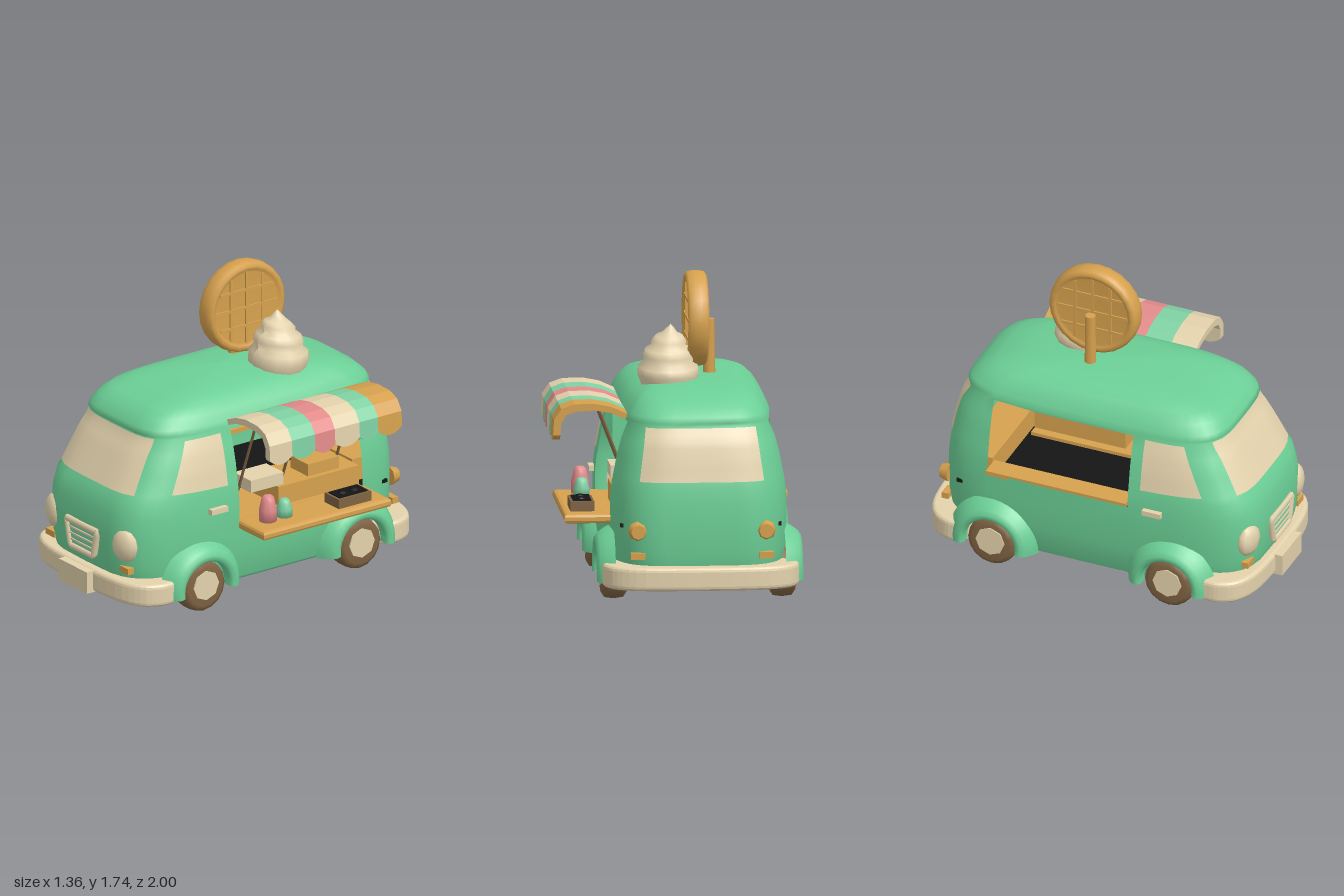
import * as THREE from 'three';

const mat = (name, color, side = THREE.FrontSide) => {
  const m = new THREE.MeshStandardMaterial({ color, side });
  m.name = name;
  return m;
};
const CX = -0.12; // body centre line
const N = 4.4; // squareness of the body plan
// body levels: height, half width, front length, back length
const LEVELS = [
  [0.1, 0.001, 0.001, 0.001], [0.1, 0.43, 0.84, 0.86], [0.13, 0.47, 0.89, 0.9], [0.3, 0.495, 0.925, 0.925],
  [0.45, 0.5, 0.935, 0.93], [0.57, 0.5, 0.925, 0.925], [0.66, 0.49, 0.9, 0.915], [0.7, 0.482, 0.865, 0.905],
  [0.8, 0.465, 0.81, 0.885], [0.9, 0.44, 0.755, 0.86], [0.98, 0.412, 0.7, 0.815], [1.0, 0.412, 0.722, 0.832],
  [1.03, 0.4, 0.71, 0.815], [1.08, 0.37, 0.67, 0.76], [1.12, 0.33, 0.6, 0.68], [1.15, 0.27, 0.47, 0.56],
  [1.172, 0.18, 0.28, 0.38], [1.182, 0.001, 0.001, 0.001],
];
const SILL_RIGHT = 4, SILL_LEFT = 5, HEAD = 10; // level indices of the openings

function sizeAt(y) {
  let i = 1;
  while (i < LEVELS.length - 2 && LEVELS[i + 1][0] < y) i++;
  const a = LEVELS[i], b = LEVELS[i + 1], t = (y - a[0]) / (b[0] - a[0]);
  return a.map((v, k) => v + (b[k] - v) * t);
}
const curve = (v, a, b) => b * Math.pow(Math.max(0, 1 - Math.pow(Math.abs(v) / a, N)), 1 / N);
const frontZ = (x, y) => { const [, w, f] = sizeAt(y); return curve(x, w, f); };
const backZ = (x, y) => { const [, w, , b] = sizeAt(y); return -curve(x, w, b); };
const sideX = (z, y) => { const [, w, f, b] = sizeAt(y); return curve(z, z > 0 ? f : b, w); };

// shell of stacked rounded sections, leaving out the two serving openings
function bodyGeometry() {
  const K = 9, pos = [], idx = [];
  let n = 0;
  for (const [y, w, f, b] of LEVELS) {
    const half = [], z0 = Math.min(0.24, 0.4 * f), z1 = Math.min(0.6, 0.74 * b);
    const arc = (l, z, t) => {
      const t0 = Math.asin(Math.pow(z / l, N / 2)), a = t0 + (Math.PI / 2 - t0) * t;
      return [w * Math.pow(Math.max(0, Math.cos(a)), 2 / N), l * Math.pow(Math.sin(a), 2 / N)];
    };
    for (let i = K; i >= 0; i--) half.push(arc(f, z0, i / K));
    for (const t of [1 / 3, 2 / 3]) {
      const z = z0 - (z0 + z1) * t;
      half.push([curve(z, z > 0 ? f : b, w), z]);
    }
    for (let i = 0; i <= K; i++) { const p = arc(b, z1, i / K); half.push([p[0], -p[1]]); }
    const ring = [...half, ...half.slice(1, -1).reverse().map(([x, z]) => [-x, z])];
    n = ring.length;
    ring.forEach(([x, z]) => pos.push(x, y, z));
  }
  for (let i = 0; i < LEVELS.length - 1; i++) for (let j = 0; j < n; j++) {
    const right = j >= K && j < K + 3, left = j >= n - K - 3 && j < n - K;
    if (i < HEAD && ((right && i >= SILL_RIGHT) || (left && i >= SILL_LEFT))) continue;
    const a = i * n + j, b = i * n + (j + 1) % n;
    idx.push(a, b, b + n, a, b + n, a + n);
  }
  const g = new THREE.BufferGeometry();
  g.setAttribute('position', new THREE.Float32BufferAttribute(pos, 3));
  g.setIndex(idx);
  g.computeVertexNormals();
  return g;
}

// thin plate following the body: corners are [u, y] as bl, br, tr, tl
function plateGeometry([bl, br, tr, tl], place) {
  const g = new THREE.PlaneGeometry(1, 1, 10, 8), p = g.attributes.position;
  const mix = (a, b, t) => a + (b - a) * t;
  for (let i = 0; i < p.count; i++) {
    const u = p.getX(i) + 0.5, v = p.getY(i) + 0.5;
    const c = [0, 1].map(k => mix(mix(bl[k], br[k], u), mix(tl[k], tr[k], u), v));
    p.setXYZ(i, ...place(c[0], c[1]));
  }
  g.computeVertexNormals();
  return g;
}

// arch swept from cross-sections, leaning in towards the body at the top
function fenderGeometry(s) {
  const section = [[0.15, 0.02], [0.15, 0.07], [0.165, 0.088], [0.19, 0.088], [0.215, 0.07], [0.24, 0.035], [0.262, -0.01]];
  const M = section.length, STEPS = 20, pos = [], idx = [];
  for (let i = 0; i <= STEPS; i++) {
    const a = -0.15 + (Math.PI + 0.3) * i / STEPS;
    for (const [r, x] of section) pos.push(s * x, r * Math.sin(a), r * Math.cos(a));
  }
  for (let i = 0; i < STEPS; i++) for (let j = 0; j < M - 1; j++) {
    const a = i * M + j, b = a + 1, c = b + M, d = a + M;
    if (s > 0) idx.push(a, c, b, a, d, c);
    else idx.push(a, b, c, a, c, d);
  }
  const g = new THREE.BufferGeometry();
  g.setAttribute('position', new THREE.Float32BufferAttribute(pos, 3));
  g.setIndex(idx);
  g.computeVertexNormals();
  return g;
}

export function createModel() {
  const green = mat('mint paint', 0x6ccf96, THREE.DoubleSide);
  const mint = mat('pale mint', 0x80d2a4);
  const cream = mat('cream', 0xe3d2ac, THREE.DoubleSide);
  const tan = mat('waffle tan', 0xd6a14e);
  const pink = mat('pink', 0xe48b8b);
  const brown = mat('brown', 0x806343);
  const black = mat('black', 0x151515);
  const root = new THREE.Group();
  root.name = 'foodVan';
  const van = new THREE.Group();
  van.name = 'van';
  van.position.x = CX;
  root.add(van);
  const add = (name, geo, m, x = 0, y = 0, z = 0, parent = van) => {
    const mesh = new THREE.Mesh(geo, m);
    mesh.name = name;
    mesh.position.set(x, y, z);
    parent.add(mesh);
    return mesh;
  };
  const box = (w, h, d) => new THREE.BoxGeometry(w, h, d);
  const vecs = pts => pts.map(p => new THREE.Vector2(...p));
  const lathe = (pts, seg) => new THREE.LatheGeometry(vecs(pts), seg);

  add('body', bodyGeometry(), green);

  // windows
  add('windscreen', plateGeometry([[-0.345, 0.7], [0.335, 0.7], [0.3, 0.985], [-0.31, 0.985]],
    (x, y) => [x, y, frontZ(x, y) + 0.009]), cream);
  add('rearWindow', plateGeometry([[0.34, 0.69], [-0.34, 0.69], [-0.3, 0.975], [0.3, 0.975]],
    (x, y) => [x, y, backZ(x, y) - 0.009]), cream);
  for (const s of [1, -1]) {
    const corners = [[0.66, 0.7], [0.31, 0.69], [0.31, 0.975], [0.53, 0.97]];
    if (s < 0) corners.splice(0, 4, corners[1], corners[0], corners[3], corners[2]);
    add('sideWindow', plateGeometry(corners, (z, y) => [s * (sideX(z, y) + 0.006), y, z]), cream);
    add('doorHandle', box(0.03, 0.03, 0.11), cream, s * 0.51, 0.57, 0.39);

    // lamps
    const lamp = add('headlight', new THREE.SphereGeometry(0.09, 10, 6), cream, s * 0.325, 0.42, 0.885);
    lamp.scale.set(0.95, 1.05, 0.5);
    lamp.rotation.y = s * 0.25;
    add('turnSignal', box(0.08, 0.035, 0.04), tan, s * 0.34, 0.285, 0.885);
    const tail = add('tailLight', new THREE.CylinderGeometry(0.04, 0.055, 0.05, 8), tan, s * 0.35, 0.42, -0.9);
    tail.rotation.x = -Math.PI / 2;
    add('reflector', box(0.08, 0.035, 0.04), tan, s * 0.35, 0.285, -0.89);

    // wheels and fenders
    for (const z of [0.49, -0.56]) {
      add('fender', fenderGeometry(s), green, s * 0.475, 0.15, z);
      const tyre = lathe([[0, -0.07], [0.11, -0.07], [0.14, -0.05], [0.147, 0], [0.14, 0.05], [0.11, 0.07], [0, 0.07]], 16);
      add('wheel', tyre.rotateZ(Math.PI / 2), brown, s * 0.46, 0.147, z);
      add('hubcap', new THREE.CylinderGeometry(0.085, 0.085, 0.02, 8).rotateZ(Math.PI / 2), cream, s * 0.527, 0.16, z);
    }
  }

  // wraparound bumpers
  const halfPath = [[0.515, 0.72], [0.51, 0.79], [0.455, 0.875], [0.31, 0.93]];
  const path = new THREE.SplineCurve(vecs([...halfPath, [0, 0.945], ...halfPath.map(([x, z]) => [-x, z]).reverse()])).getPoints(32);
  for (const [name, dz, turn] of [['frontBumper', -0.005, 0], ['rearBumper', 0.035, Math.PI]]) {
    const outer = path.map(p => new THREE.Vector2(p.x, p.y + dz));
    const inner = path.map(p => new THREE.Vector2(p.x * 0.8, p.y + dz - 0.12)).reverse();
    const g = new THREE.ExtrudeGeometry(new THREE.Shape([...outer, ...inner]),
      { depth: 0.08, bevelThickness: 0.024, bevelSize: 0.02, bevelSegments: 3 });
    g.translate(0, 0, -0.04).rotateX(Math.PI / 2).rotateY(turn);
    add(name, g, cream, 0, 0.167, 0);
  }
  add('bumperPlate', box(0.26, 0.125, 0.08), cream, 0, 0.163, 0.96);

  // grille
  const rim = [[-0.14, 0.45], [0.14, 0.45], [0.105, 0.3], [-0.105, 0.3]];
  const frame = new THREE.CurvePath();
  rim.forEach((p, i) => {
    const q = rim[(i + 1) % 4];
    frame.add(new THREE.LineCurve3(new THREE.Vector3(...p, 0.935), new THREE.Vector3(...q, 0.935)));
  });
  add('grilleFrame', new THREE.TubeGeometry(frame, 40, 0.02, 6, true), cream);
  add('grillePanel', new THREE.ShapeGeometry(new THREE.Shape(vecs(rim))), mint, 0, 0, 0.938);
  for (let i = 0; i < 3; i++) add('grilleSlat', box(0.2 + 0.02 * i, 0.009, 0.012), cream, 0, 0.34 + 0.035 * i, 0.938);

  // interior: dark floor, cab wall, serving counter and rear worktop
  add('interiorFloor', box(0.88, 0.02, 1.1), black, 0, 0.44, -0.25);
  add('cabWall', box(0.8, 0.55, 0.02), green, 0, 0.72, 0.28);
  add('sill', box(0.12, 0.025, 0.83), tan, -0.43, 0.567, -0.19);
  add('servingCounter', box(0.36, 0.03, 0.83), tan, 0.3, 0.455, -0.185);
  add('counterStep', box(0.28, 0.12, 0.54), tan, 0.31, 0.52, -0.33);
  add('rearWorktop', box(0.72, 0.14, 0.2), tan, 0, 0.51, -0.72);
  add('tray', box(0.16, 0.07, 0.22), cream, 0.36, 0.62, 0.01);
  add('crate', box(0.16, 0.07, 0.21), tan, 0.34, 0.615, -0.385);
  add('servingShelf', new THREE.ExtrudeGeometry(new THREE.Shape(vecs([[-0.11, -0.41], [0.11, -0.41], [0.11, 0.41], [-0.11, 0.41]])),
    { depth: 0.02, bevelThickness: 0.016, bevelSize: 0.02, bevelSegments: 2 }).rotateX(Math.PI / 2),
  tan, 0.48, 0.457, -0.185, root);

  // things on the shelf
  const bottle = [[0, 0], [0.05, 0], [0.05, 0.07], [0.04, 0.11], [0.034, 0.14], [0.02, 0.152], [0, 0.154]];
  add('pinkBottle', lathe(bottle, 10), pink, 0.47, 0.468, 0.115, root);
  add('greenBottle', lathe(bottle.map(([r, y]) => [r * 0.88, y * 0.7]), 10), mint, 0.47, 0.468, 0.005, root);
  add('griddle', box(0.13, 0.055, 0.22), brown, 0.505, 0.5, -0.4, root);
  add('griddlePlate', box(0.1, 0.008, 0.19), black, 0.505, 0.53, -0.4, root);
  for (const z of [-0.36, -0.44]) add('griddleLump', new THREE.SphereGeometry(0.025, 8, 5), black, 0.505, 0.53, z, root).scale.y = 0.7;

  // striped awning with scalloped edge
  const section = new THREE.Shape(vecs([[0.27, 1.03], [0.36, 1.07], [0.45, 1.087], [0.56, 1.085], [0.63, 1.06], [0.67, 1.0], [0.675, 0.91],
    [0.635, 0.91], [0.63, 0.98], [0.605, 1.025], [0.55, 1.045], [0.45, 1.05], [0.36, 1.035], [0.28, 1.0]]));
  const edges = [0.25, 0.1, -0.055, -0.19, -0.355, -0.48, -0.64];
  [cream, mint, pink, cream, mint, tan].forEach((m, i) => {
    const depth = edges[i] - edges[i + 1];
    const g = new THREE.ExtrudeGeometry(section, { depth, steps: 6, bevelEnabled: false });
    const p = g.attributes.position;
    for (let k = 0; k < p.count; k++) {
      const t = p.getZ(k) / depth;
      if (p.getY(k) < 0.93) p.setY(k, 0.915 - 0.14 * t * (1 - t));
    }
    g.computeVertexNormals();
    add('awningStripe', g, m, 0, 0, edges[i + 1], root);
  });
  const strut = new THREE.LineCurve3(new THREE.Vector3(0.42, 1.05, 0), new THREE.Vector3(0.24, 0.58, 0));
  for (const z of [0.15, -0.145, -0.5]) add('awningStrut', new THREE.TubeGeometry(strut, 1, 0.008, 6), brown, 0, 0, z, root);

  // rooftop waffle with raised rim and grid
  const waffle = new THREE.Group();
  waffle.name = 'waffleSign';
  waffle.position.set(-0.14, 1.475, -0.155);
  root.add(waffle);
  const halfRim = [[0, 0.042], [0.205, 0.042], [0.22, 0.056], [0.24, 0.058], [0.256, 0.045], [0.262, 0.015]];
  const disc = lathe([...halfRim.map(([r, y]) => [r, -y]), ...halfRim.slice().reverse()], 24);
  add('waffleDisc', disc.rotateZ(Math.PI / 2), tan, 0, 0, 0, waffle);
  for (const d of [-0.105, 0, 0.105]) {
    const len = 2 * Math.sqrt(0.21 * 0.21 - d * d);
    add('waffleRib', box(0.1, len, 0.016), tan, 0, 0, d, waffle);
    add('waffleRib', box(0.1, 0.016, len), tan, 0, d, 0, waffle);
  }
  add('waffleSupport', new THREE.CylinderGeometry(0.03, 0.034, 0.32, 8), tan, -0.214, 1.31, -0.155, root);

  // whipped swirl
  const swirl = lathe([[0.15, -0.03], [0.17, 0.02], [0.165, 0.07], [0.135, 0.095], [0.14, 0.13], [0.125, 0.165], [0.095, 0.18],
    [0.095, 0.21], [0.075, 0.235], [0.045, 0.25], [0.025, 0.275], [0, 0.3]], 14);
  const sp = swirl.attributes.position;
  for (let i = 0; i < sp.count; i++) {
    const a = Math.atan2(sp.getZ(i), sp.getX(i)), y = sp.getY(i);
    if (y > 0.03 && y < 0.24) sp.setY(i, y + 0.014 * Math.sin(a));
    sp.setX(i, sp.getX(i) - Math.max(0, y - 0.18) * 0.12);
  }
  swirl.computeVertexNormals();
  add('whippedCream', swirl, cream, 0.02, 1.165, -0.285, root);
  return root;
}
